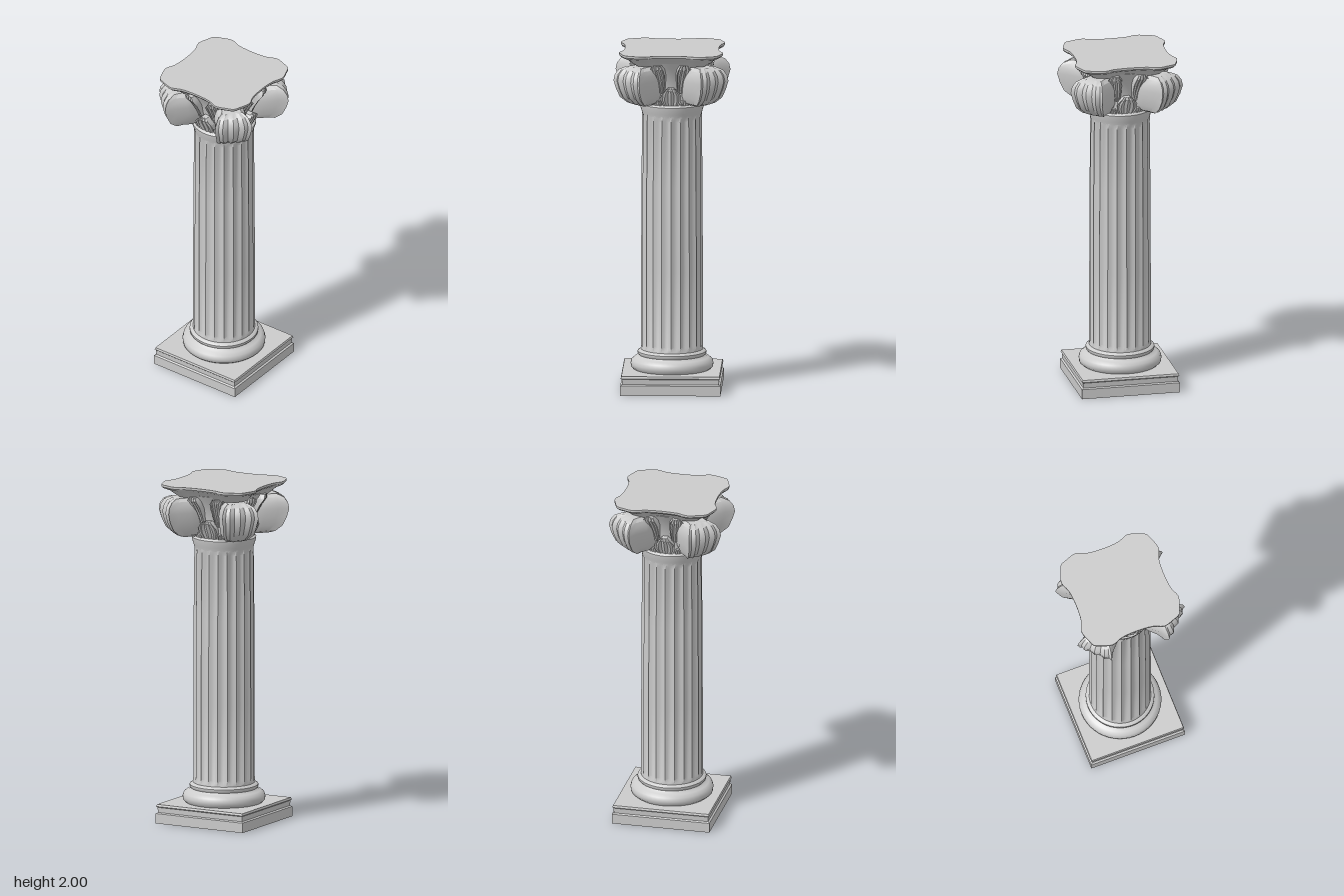
import * as THREE from 'three';
import { toCreasedNormals } from 'three/addons/utils/BufferGeometryUtils.js';

const material = new THREE.MeshStandardMaterial({ color: 0xcccccc });

function addMesh(parent, name, geometry, crease = 0.6) {
  const mesh = new THREE.Mesh(toCreasedNormals(geometry, crease), material);
  mesh.name = name;
  parent.add(mesh);
  return mesh;
}

// Skin stacked rings (bottom to top, counter-clockwise from above) and cap both ends.
function loft(rings) {
  const n = rings[0].length, pos = [], idx = [];
  rings.forEach(r => r.forEach(p => pos.push(p.x, p.y, p.z)));
  for (let i = 0; i < rings.length - 1; i++) {
    for (let j = 0; j < n; j++) {
      const a = i * n + j, b = i * n + (j + 1) % n;
      idx.push(a, b, b + n, a, b + n, a + n);
    }
  }
  [rings[0], rings[rings.length - 1]].forEach((r, end) => {
    const c = r.reduce((s, p) => s.add(p), new THREE.Vector3()).divideScalar(n);
    const ci = pos.length / 3, o = end ? (rings.length - 1) * n : 0;
    pos.push(c.x, c.y, c.z);
    for (let j = 0; j < n; j++) {
      const a = o + j, b = o + (j + 1) % n;
      if (end) idx.push(ci, a, b); else idx.push(ci, b, a);
    }
  });
  const g = new THREE.BufferGeometry();
  g.setAttribute('position', new THREE.Float32BufferAttribute(pos, 3));
  g.setIndex(idx);
  return g;
}

const lathe = (pts, seg = 48) => new THREE.LatheGeometry(pts.map(p => new THREE.Vector2(...p)), seg);

// Square slab with sloping sides: rows of [y, half width].
const slab = rows => loft(rows.map(([y, h]) =>
  [[-h, h], [h, h], [h, -h], [-h, -h]].map(([x, z]) => new THREE.Vector3(x, y, z))));

// Fluted shaft, slightly tapered; the flutes fade out at both ends.
function shaftGeometry() {
  const flutes = 20, per = 6, n = flutes * per;
  const rows = [[0.21, 0.18, 0], [0.235, 0.179, 0], [0.26, 0.179, 1], [0.7, 0.179, 1],
    [1.2, 0.177, 1], [1.59, 0.173, 1], [1.62, 0.173, 0], [1.64, 0.174, 0]];
  return loft(rows.map(([y, r, flute]) => Array.from({ length: n }, (_, j) => {
    const a = j / n * Math.PI * 2;
    const rr = r - 0.011 * flute * Math.sin((j % per) / per * Math.PI);
    return new THREE.Vector3(rr * Math.sin(a), y, rr * Math.cos(a));
  })));
}

// Abacus: concave sides and rounded, blunt corners.
function abacusGeometry() {
  const side = [[0, 0.272], [0.1, 0.28], [0.16, 0.302], [0.225, 0.283], [0.265, 0.265], [0.283, 0.225],
    [0.302, 0.16], [0.28, 0.1]];
  const ctrl = [];
  for (let q = 0; q < 4; q++) {
    const c = Math.round(Math.cos(q * Math.PI / 2)), s = Math.round(Math.sin(q * Math.PI / 2));
    side.forEach(([x, z]) => ctrl.push(new THREE.Vector3(x * c + z * s, 0, z * c - x * s)));
  }
  const outline = new THREE.CatmullRomCurve3(ctrl, true).getPoints(96).slice(0, -1);
  const rows = [[1.925, 0.72], [1.945, 0.8], [1.965, 0.87], [1.978, 0.97], [1.988, 1], [2, 1]];
  return loft(rows.map(([y, s]) => outline.map(p => new THREE.Vector3(p.x * s, y, p.z * s))));
}

// Curled leaf facing +z: rows of [y, half width, outer z, inner z]; grooved face, pointed side ears.
const faceOutline = [[0, 0, 0], [0.3, 0, 0.012], [0.6, 0, 0.001], [0.8, 0, 0.014], [1, 0, 0.008],
  [0.86, 0.3, 0], [0.86, 0.65, 0], [0.6, 1, 0]];
function leafGeometry(rows, groove = 1) {
  const half = faceOutline;
  const full = [...half, ...half.slice(1).reverse().map(([x, t, g]) => [-x, t, g])];
  return loft(rows.map(([y, w, out, inn]) => full.map(([x, t, g]) =>
    new THREE.Vector3(x * w, y, out + (inn - out) * t - g * groove))));
}

export function createModel() {
  const model = new THREE.Group();
  model.name = 'column';

  // Base
  addMesh(model, 'plinth', slab([[0, 0.29], [0.058, 0.29], [0.064, 0.28], [0.094, 0.282],
    [0.1, 0.288], [0.112, 0.284]]), 0.3);
  addMesh(model, 'baseMoulding', lathe([[0, 0.108], [0.222, 0.11], [0.238, 0.125], [0.24, 0.145],
    [0.234, 0.165], [0.215, 0.18], [0.2, 0.185], [0.192, 0.194], [0.199, 0.203], [0.199, 0.215],
    [0.19, 0.223], [0.178, 0.228], [0, 0.228]]), 0.8);

  // Shaft and necking
  addMesh(model, 'flutedShaft', shaftGeometry(), 0.5);
  addMesh(model, 'necking', lathe([[0, 1.615], [0.172, 1.615], [0.177, 1.635], [0.185, 1.66],
    [0.187, 1.677], [0.178, 1.686], [0.16, 1.69], [0, 1.69]]), 0.7);

  // Capital
  const capital = new THREE.Group();
  capital.name = 'capital';
  model.add(capital);
  addMesh(capital, 'bell', lathe([[0, 1.68], [0.163, 1.685], [0.155, 1.72], [0.16, 1.79],
    [0.18, 1.86], [0.205, 1.91], [0.225, 1.945], [0, 1.945]], 32), 0.8);
  addMesh(capital, 'abacus', abacusGeometry(), 0.5);

  const volute = leafGeometry([[1.69, 0.04, 0.255, 0.16], [1.705, 0.072, 0.295, 0.15],
    [1.74, 0.092, 0.335, 0.14], [1.79, 0.1, 0.358, 0.14], [1.84, 0.109, 0.37, 0.15],
    [1.875, 0.104, 0.364, 0.16], [1.905, 0.09, 0.345, 0.17], [1.922, 0.062, 0.31, 0.18]]);
  const faceLeaf = leafGeometry([[1.688, 0.045, 0.175, 0.13], [1.72, 0.06, 0.188, 0.13],
    [1.755, 0.058, 0.205, 0.13], [1.78, 0.04, 0.215, 0.14], [1.795, 0.02, 0.205, 0.15]], 0.7);
  const sideLeaf = leafGeometry([[1.76, 0.018, 0.17, 0.13], [1.82, 0.03, 0.195, 0.14],
    [1.875, 0.04, 0.225, 0.15], [1.91, 0.04, 0.25, 0.16], [1.935, 0.025, 0.25, 0.17]], 0.6);
  const collarLeaf = leafGeometry([[1.68, 0.026, 0.175, 0.13], [1.7, 0.028, 0.18, 0.13],
    [1.715, 0.018, 0.183, 0.14]], 0.4);

  for (let q = 0; q < 4; q++) {
    const turn = q * Math.PI / 2;
    addMesh(capital, 'cornerVolute', volute, 0.55).rotation.y = turn + Math.PI / 4;
    addMesh(capital, 'faceLeaf', faceLeaf, 0.5).rotation.y = turn;
    for (const s of [-1, 1]) {
      addMesh(capital, 'sideLeaf', sideLeaf, 0.5).rotation.y = turn + s * 0.34;
      addMesh(capital, 'collarLeaf', collarLeaf, 0.5).rotation.y = turn + s * 0.48;
    }
  }
  return model;
}
